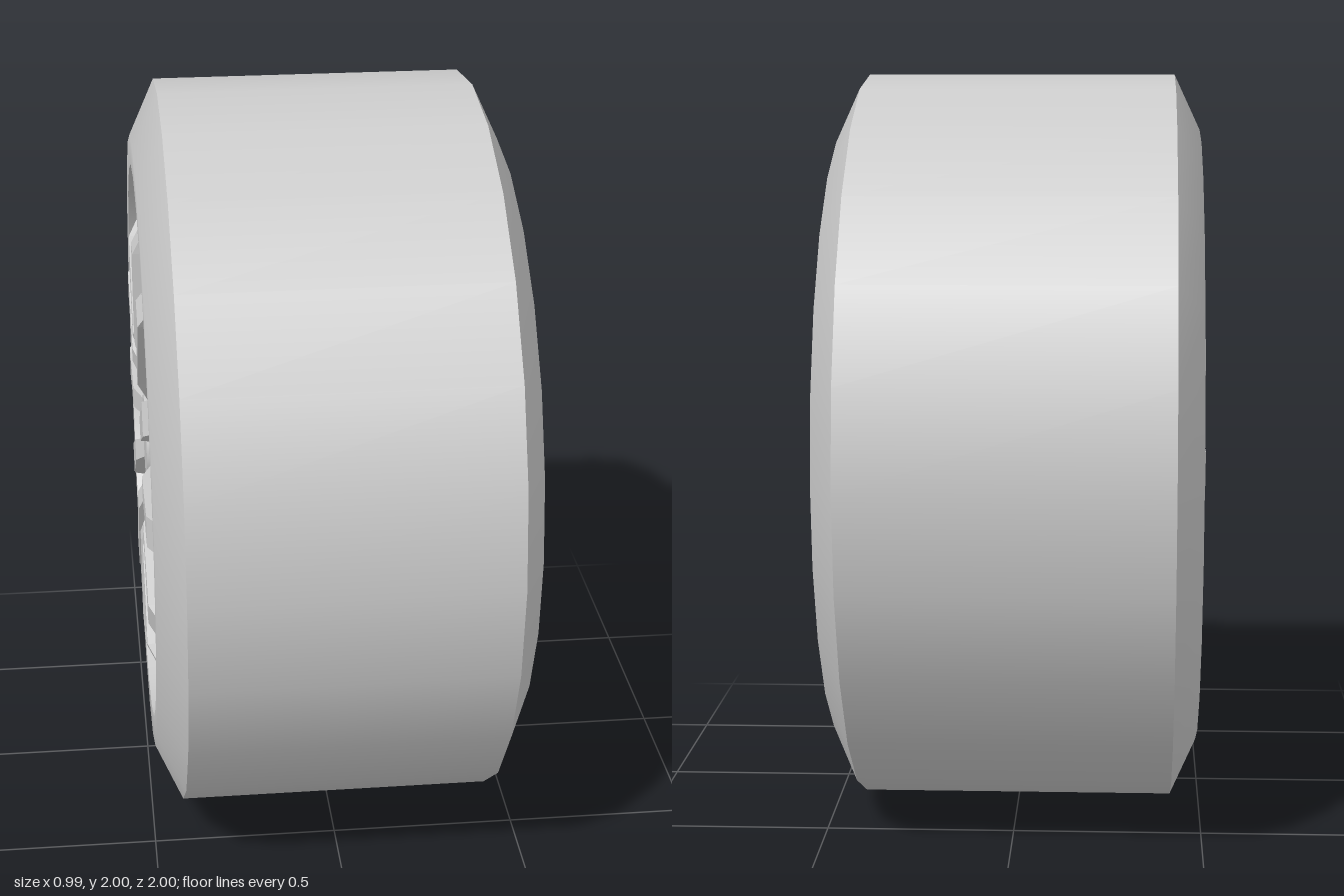
import * as THREE from 'three';

const SIDES = 24;
const material = new THREE.MeshStandardMaterial({ color: 0xcccccc });

// Surface turned around the x axis; points are [radius, x]
function turned(name, points) {
  const profile = points.map(([r, x]) => new THREE.Vector2(r, x));
  const geometry = new THREE.LatheGeometry(profile, SIDES);
  geometry.rotateZ(-Math.PI / 2);
  const mesh = new THREE.Mesh(geometry, material);
  mesh.name = name;
  return mesh;
}

// Kinked bar running up +y, with its front towards -x
function spokeGeometry() {
  const stations = [
    { r: 0.10, front: -0.43, depth: 0.08, width: 0.04 },
    { r: 0.30, front: -0.50, depth: 0.09, width: 0.06 },
    { r: 0.57, front: -0.50, depth: 0.09, width: 0.09 },
    { r: 0.75, front: -0.41, depth: 0.09, width: 0.09 },
  ];
  const box = new THREE.BoxGeometry(1, 1, 1, 1, stations.length - 1, 1);
  const p = box.attributes.position;
  for (let i = 0; i < p.count; i++) {
    const s = stations[Math.round((p.getY(i) + 0.5) * (stations.length - 1))];
    const x = s.front + (p.getX(i) + 0.5) * s.depth;
    p.setXYZ(i, x, s.r, p.getZ(i) * s.width);
  }
  const flat = box.toNonIndexed();
  flat.computeVertexNormals();
  return flat;
}

export function createModel() {
  const model = new THREE.Group();
  model.name = 'wheel';

  const wheel = new THREE.Group();
  wheel.name = 'wheelAssembly';
  wheel.position.y = 1;
  model.add(wheel);

  // Tyre: tread, open outer side, closed inner side
  wheel.add(turned('tread', [[1, -0.42], [1, 0.42]]));
  wheel.add(turned('outerSidewall', [[0.77, -0.49], [0.85, -0.49], [1, -0.42]]));
  wheel.add(turned('innerSidewall', [[1, 0.42], [0.85, 0.49], [0.8, 0.492], [0, 0.492]]));

  // Recessed rim
  wheel.add(turned('rimWall', [[0, -0.24], [0.72, -0.24]]));
  wheel.add(turned('rimBarrel', [[0.72, -0.24], [0.77, -0.49]]));

  // Hub and its front cap
  wheel.add(turned('hubShaft', [[0.12, -0.44], [0.12, -0.24]]));
  wheel.add(turned('hubCapFace', [[0, -0.48], [0.13, -0.48]]));
  wheel.add(turned('hubCapEdge', [[0.13, -0.48], [0.13, -0.43]]));
  wheel.add(turned('hubCapBack', [[0.13, -0.43], [0, -0.43]]));

  // Spokes
  const geometry = spokeGeometry();
  const spokes = new THREE.Group();
  spokes.name = 'spokes';
  for (let i = 0; i < 12; i++) {
    const spoke = new THREE.Mesh(geometry, material);
    spoke.name = 'spoke';
    spoke.rotation.x = (i * Math.PI) / 6;
    spokes.add(spoke);
  }
  wheel.add(spokes);

  return model;
}
